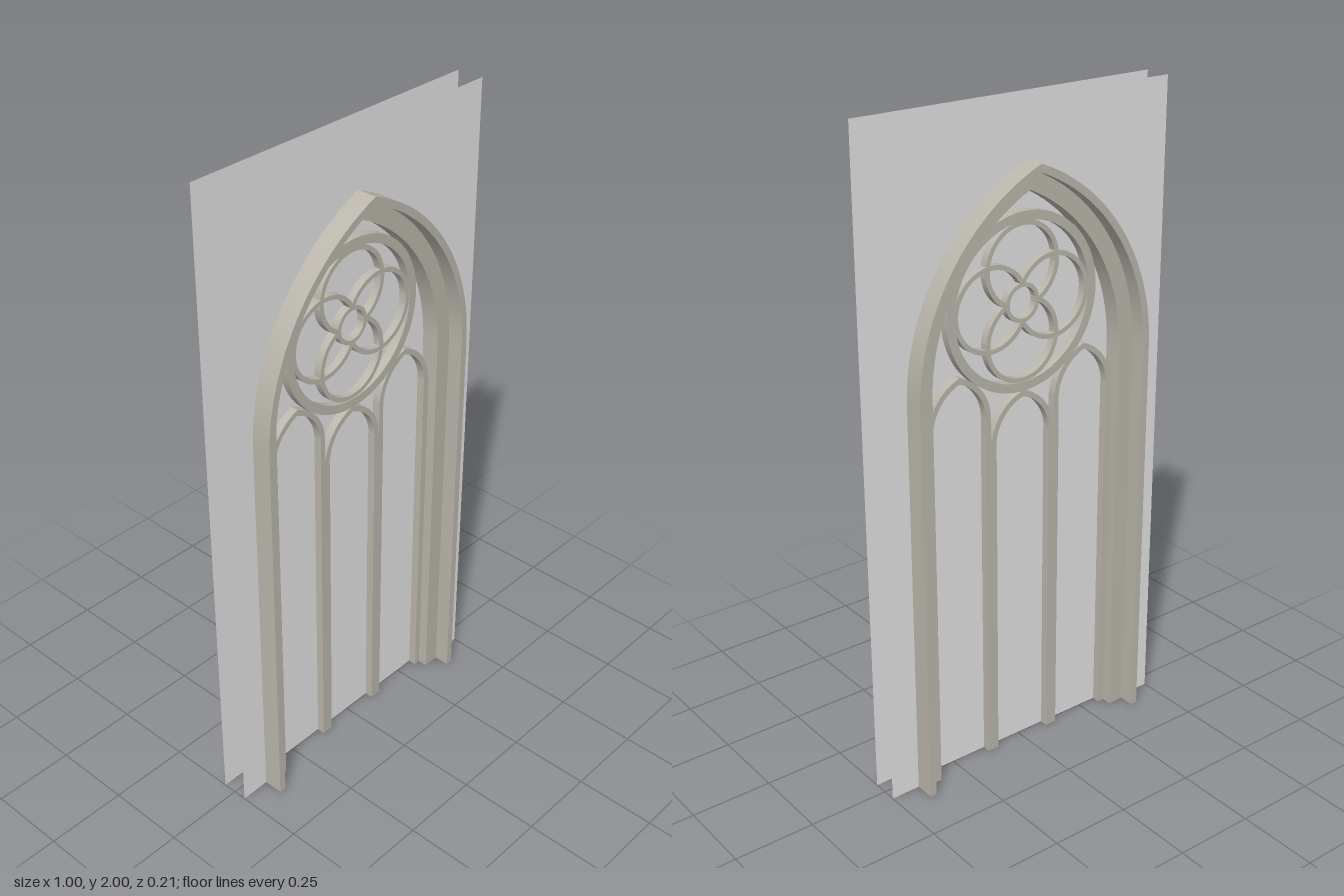
import * as THREE from 'three';
import { toCreasedNormals } from 'three/addons/utils/BufferGeometryUtils.js';

export function createModel() {
  const model = new THREE.Group();
  model.name = 'traceryWindow';

  const stone = new THREE.MeshStandardMaterial({ color: 0xbab6ac });
  stone.name = 'stone';
  const plaster = new THREE.MeshStandardMaterial({ color: 0xe2e2e2, side: THREE.DoubleSide });
  plaster.name = 'paleGrey';

  const add = (name, geometry, material, x = 0, y = 0, z = 0) => {
    const mesh = new THREE.Mesh(geometry, material);
    mesh.name = name;
    mesh.position.set(x, y, z);
    model.add(mesh);
    return mesh;
  };

  // Leave the feet open: drop every triangle lying flat on the ground
  const openFeet = (geometry) => {
    const g = geometry.index ? geometry.toNonIndexed() : geometry;
    const p = g.getAttribute('position');
    const kept = [];
    for (let i = 0; i < p.count; i += 3) {
      if (Math.max(p.getY(i), p.getY(i + 1), p.getY(i + 2)) > 1e-5) kept.push(i, i + 1, i + 2);
    }
    g.setIndex(kept);
    return g;
  };

  // Extrude a flat outline to the given half depth, centred on z = 0
  const slab = (shape, halfDepth, curveSegments = 32) => {
    const g = new THREE.ExtrudeGeometry(shape, { depth: halfDepth * 2, bevelEnabled: false, curveSegments });
    g.translate(0, 0, -halfDepth);
    return toCreasedNormals(g, 0.5);
  };

  // Outline of a two-centred pointed arch with legs, from right foot to left foot
  const archLine = (d, r, base, spring, n = 24) => {
    const right = [];
    const end = Math.acos(d / r);
    if (base < spring) right.push(new THREE.Vector2(r - d, base));
    for (let i = 0; i <= n; i++) {
      const a = (end * i) / n;
      right.push(new THREE.Vector2(i === n ? 0 : r * Math.cos(a) - d, spring + r * Math.sin(a)));
    }
    const left = right.slice(0, -1).reverse().map((p) => new THREE.Vector2(-p.x, p.y));
    return right.concat(left);
  };

  // Band between two concentric pointed arches: outer line out, inner line back
  const archBand = (d, rOuter, rInner, base, spring, halfDepth) =>
    openFeet(slab(new THREE.Shape([
      ...archLine(d, rOuter, base, spring),
      ...archLine(d, rInner, base, spring).reverse(),
    ]), halfDepth));

  // Band following part of a circle, angles measured from +x
  const arcBand = (rOuter, rInner, from, to, halfDepth) => {
    const s = new THREE.Shape();
    s.absarc(0, 0, rOuter, from, to, false);
    s.absarc(0, 0, rInner, to, from, true);
    return slab(s, halfDepth, 48);
  };

  const ring = (rOuter, rInner, halfDepth) => {
    const s = new THREE.Shape();
    s.absarc(0, 0, rOuter, 0, Math.PI * 2, false);
    const hole = new THREE.Path();
    hole.absarc(0, 0, rInner, 0, Math.PI * 2, true);
    s.holes.push(hole);
    return slab(s, halfDepth, 64);
  };

  // Upright post with an open foot
  const post = (width, height, halfDepth) => {
    const g = new THREE.BoxGeometry(width, height, halfDepth * 2);
    g.translate(0, height / 2, 0);
    return openFeet(g);
  };

  // Two wall faces cut out around the arch
  const archOffset = 0.242;
  const archSpring = 1.235;
  const wall = new THREE.ShapeGeometry(new THREE.Shape([
    ...archLine(archOffset, 0.638, 0, archSpring),
    ...[[-0.5, 0], [-0.5, 2], [0.5, 2], [0.5, 0]].map(([x, y]) => new THREE.Vector2(x, y)),
  ]));
  add('frontWall', wall, plaster, 0, 0, 0.0415);
  add('backWall', wall, plaster, 0, 0, -0.0415);

  // Glazing in the middle of the opening
  add('glass', new THREE.ShapeGeometry(new THREE.Shape(archLine(archOffset, 0.6, 0, archSpring))), plaster);

  // Stepped main arch: deep outer moulding and shallower inner moulding
  add('outerArch', archBand(archOffset, 0.649, 0.627, 0, archSpring, 0.103), stone);
  add('innerArch', archBand(archOffset, 0.627, 0.575, 0, archSpring, 0.055), stone);

  // Jambs, mullions and lancet heads
  const middleSpring = 1.02;
  const sideSpring = 1.11;
  const bar = 0.025;
  for (const side of [-1, 1]) {
    const label = side > 0 ? 'left' : 'right';
    add(label + 'Jamb', post(0.022, sideSpring, bar), stone, side * 0.323);
    add(label + 'Mullion', post(0.037, middleSpring, bar), stone, side * 0.1135);
    add(label + 'LancetHead', archBand(0.05, 0.158, 0.141, middleSpring, sideSpring, bar), stone, side * 0.222);
  }
  add('middleLancetHead', archBand(0.041, 0.154, 0.137, middleSpring, middleSpring, bar), stone);

  // Rose: large ring, small centre ring and four interlaced foils
  const roseY = 1.43;
  add('roseRing', ring(0.262, 0.235, 0.027), stone, 0, roseY);
  add('roseCentre', ring(0.058, 0.046, 0.024), stone, 0, roseY);
  const foil = arcBand(0.128, 0.114, -2.7, 2.7, 0.024);
  for (let i = 0; i < 4; i++) {
    const a = (i * Math.PI) / 2;
    const m = add('roseFoil', foil, stone, 0.108 * Math.cos(a), roseY + 0.108 * Math.sin(a));
    m.rotation.z = a;
  }

  return model;
}
